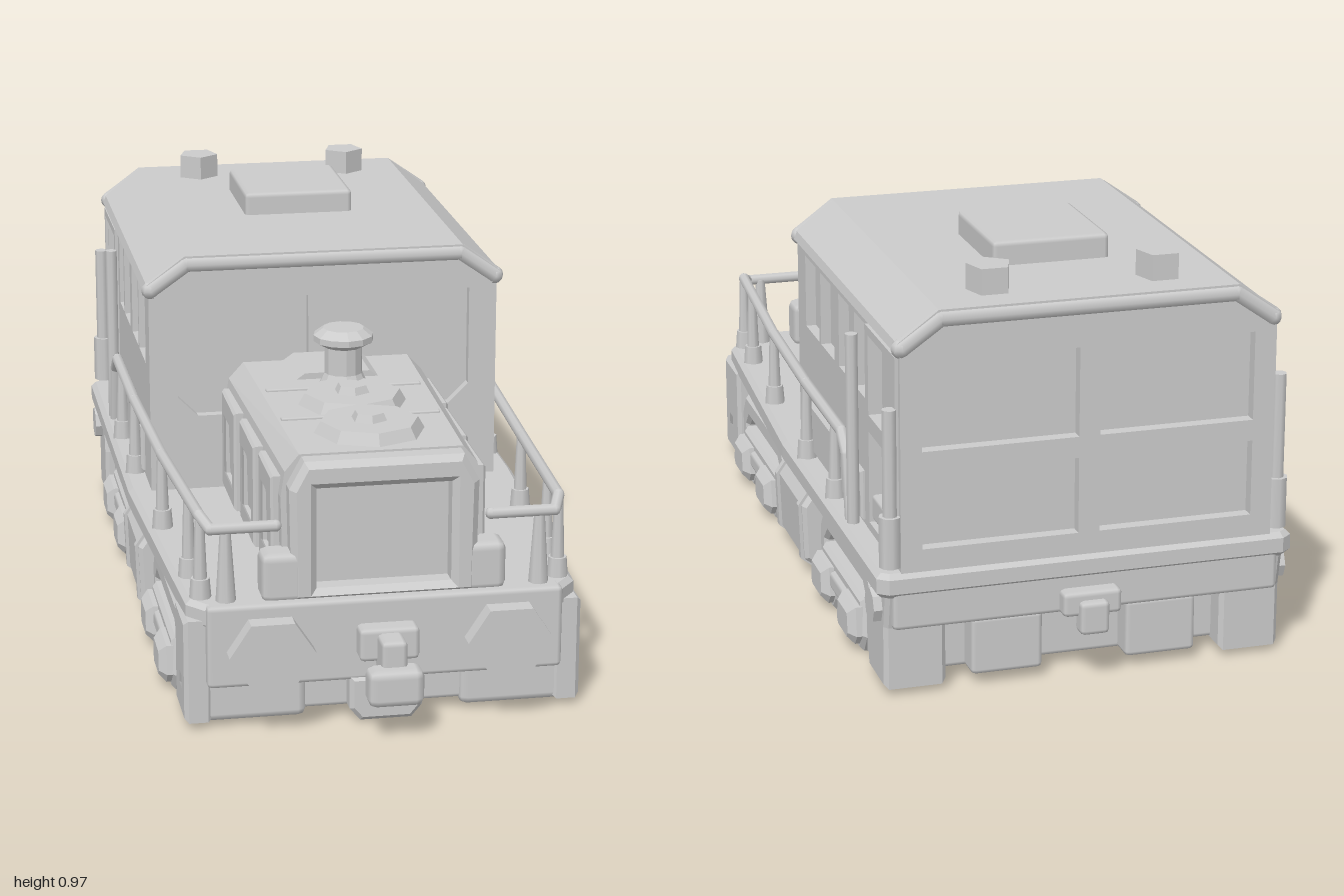
import * as THREE from 'three';
import { RoundedBoxGeometry } from 'three/addons/geometries/RoundedBoxGeometry.js';

const material = new THREE.MeshStandardMaterial({ color: 0xcccccc, side: THREE.DoubleSide });
const flat = new THREE.MeshStandardMaterial({ color: 0xcccccc, side: THREE.DoubleSide, flatShading: true });

export function createModel() {
  const model = new THREE.Group();
  const add = (name, geo, x = 0, y = 0, z = 0, mat = material) => {
    const mesh = new THREE.Mesh(geo, mat);
    mesh.name = name;
    mesh.position.set(x, y, z);
    model.add(mesh);
    return mesh;
  };
  // Box given by its extents
  const box = (name, x0, x1, y0, y1, z0, z1, r = 0.012) =>
    add(name, new RoundedBoxGeometry(x1 - x0, y1 - y0, z1 - z0, 1, r), (x0 + x1) / 2, (y0 + y1) / 2, (z0 + z1) / 2);
  const pairBox = (name, x0, x1, ...rest) => {
    box(name + 'Left', x0, x1, ...rest);
    box(name + 'Right', -x1, -x0, ...rest);
  };
  const toShape = (pts, holes = []) => {
    const s = new THREE.Shape(pts.map(p => new THREE.Vector2(...p)));
    holes.forEach(h => s.holes.push(new THREE.Path(h.map(p => new THREE.Vector2(...p)))));
    return s;
  };
  const rect = (a, b, c, d) => [[a, c], [b, c], [b, d], [a, d]];
  const mirror = half => [...half, ...half.map(([x, y]) => [-x, y]).reverse()];
  const extrude = (pts, holes, depth, bevel = 0) => new THREE.ExtrudeGeometry(toShape(pts, holes), {
    depth, bevelEnabled: bevel > 0, bevelSize: bevel, bevelThickness: bevel, bevelOffset: -bevel, bevelSegments: 1 });
  // Section in x, y run along z
  const alongZ = (name, pts, z0, z1, holes = [], bevel = 0) =>
    add(name, extrude(pts, holes, z1 - z0 - 2 * bevel, bevel), 0, 0, z0 + bevel);
  // Profile in z, y given thickness in x on both sides
  const sides = (name, pts, x0, x1, holes = [], bevel = 0) => {
    const flip = list => list.map(([z, y]) => [-z, y]);
    const geo = extrude(flip(pts), holes.map(flip), x1 - x0 - 2 * bevel, bevel).rotateY(Math.PI / 2);
    add(name + 'Left', geo, x0 + bevel);
    add(name + 'Right', geo, -x1 + bevel);
  };
  const cyl = (name, r0, r1, h, n, x, y, z, mat = flat) => add(name, new THREE.CylinderGeometry(r1, r0, h, n), x, y, z, mat);
  const tube = (name, pts, r) => {
    const path = new THREE.CurvePath();
    const v = pts.map(p => new THREE.Vector3(...p));
    for (let i = 1; i < v.length; i++) path.add(new THREE.LineCurve3(v[i - 1], v[i]));
    path.curves.forEach(c => add(name, new THREE.TubeGeometry(c, 1, r, 8)));
    v.forEach(p => add(name + 'Joint', new THREE.SphereGeometry(r, 8, 6), p.x, p.y, p.z));
  };

  // Chassis and deck, tapering to the front
  box('chassis', -0.41, 0.41, 0.03, 0.27, -0.86, 0.82);
  const plan = mirror([[0.41, -0.855], [0.455, -0.8], [0.495, 0], [0.495, 0.93], [0.47, 0.95]]);
  add('deck', extrude(plan, [], 0.035, 0.012).rotateX(-Math.PI / 2), 0, 0.262, 0);
  box('frontBeam', -0.415, 0.415, 0.11, 0.31, 0.81, 0.865);
  box('rearBeam', -0.46, 0.46, 0.17, 0.3, -0.945, -0.85);
  pairBox('frontGuard', 0.18, 0.455, 0.015, 0.165, 0.68, 0.835, 0.02);
  pairBox('rearBlock', 0.1, 0.27, 0.03, 0.17, -0.92, -0.8);
  sides('frontStep', rect(0.68, 0.84, 0.02, 0.27), 0.4, 0.465, [rect(0.74, 0.8, 0.08, 0.13)], 0.01);
  sides('rearStep', [[-0.77, 0.02], [-0.92, 0.02], [-0.92, 0.17], [-0.94, 0.27], [-0.8, 0.27], [-0.77, 0.15]], 0.33, 0.475, [], 0.01);

  // Bogies: arched frame, two axle boxes and a spring bar per side
  for (const [label, c] of [['front', 0.415], ['rear', -0.475]]) {
    const m = z => c + z;
    sides(label + 'BogieFrame', [[m(-0.25), 0.01], [m(-0.25), 0.17], [m(-0.21), 0.225], [m(0.21), 0.225], [m(0.25), 0.17],
      [m(0.25), 0.01], [m(0.2), 0.01], [m(0.2), 0.14], [m(0.17), 0.17], [m(-0.17), 0.17], [m(-0.2), 0.14], [m(-0.2), 0.01]], 0.38, 0.455, [], 0.01);
    sides(label + 'BogieBeam', [[m(-0.21), 0.05], [m(-0.18), 0.005], [m(-0.08), 0.005], [m(-0.05), 0.035], [m(0.05), 0.035], [m(0.08), 0.005],
      [m(0.18), 0.005], [m(0.21), 0.05], [m(0.19), 0.14], [m(-0.19), 0.14]], 0.3, 0.465, [], 0.01);
    for (const dz of [-0.13, 0.13])
      sides(label + 'AxleBox', [[m(dz - 0.07), 0.05], [m(dz - 0.05), 0.025], [m(dz + 0.05), 0.025], [m(dz + 0.07), 0.05],
        [m(dz + 0.06), 0.12], [m(dz - 0.06), 0.12]], 0.44, 0.495, [], 0.018);
    pairBox(label + 'Spring', 0.43, 0.478, 0.07, 0.115, m(-0.07), m(0.07));
  }

  // Fuel tanks with end bands
  for (const s of [-1, 1]) {
    const tank = k => [[0.3, 0.01], [0.43, 0.01], [0.48, 0.05], [0.485, 0.19], [0.45, 0.24], [0.3, 0.24]].map(([x, y]) => [s * (x + k), y]);
    alongZ('tank', tank(0), -0.17, 0.12, [], 0.01);
    for (const z of [-0.155, 0.085]) alongZ('tankBand', tank(0.008), z, z + 0.02);
  }
  for (const s of [-1, 1]) {
    const g = new THREE.CylinderGeometry(0.042, 0.042, 0.04, 8).rotateZ(Math.PI / 2);
    add('sideLamp', g, s * 0.475, 0.21, -0.865, flat);
    // Front buffers
    add('bufferShaft', new THREE.CylinderGeometry(0.06, 0.06, 0.06, 8).rotateX(Math.PI / 2), s * 0.275, 0.215, 0.88);
    add('bufferPlate', new THREE.CylinderGeometry(0.1, 0.1, 0.045, 6).rotateY(Math.PI / 2).rotateX(Math.PI / 2).scale(1, 0.88, 1), s * 0.275, 0.215, 0.922, flat);
  }

  // Couplers
  box('frontCouplerBase', -0.07, 0.07, 0.17, 0.25, 0.84, 0.91);
  box('frontCouplerNeck', -0.03, 0.03, 0.15, 0.24, 0.88, 0.97);
  box('frontCouplerHook', -0.065, 0.065, 0.09, 0.18, 0.93, 1.0, 0.02);
  alongZ('frontPlough', mirror([[0.06, 0.01], [0.085, 0.04], [0.085, 0.12]]), 0.8, 0.87, [], 0.01);
  box('rearCouplerBase', -0.07, 0.07, 0.17, 0.23, -0.98, -0.93);
  box('rearCouplerHook', -0.035, 0.035, 0.13, 0.21, -1.0, -0.95);

  // Hood, narrowing to the front, with raised side doors
  const hood = extrude(mirror([[0.24, 0.3], [0.245, 0.54], [0.235, 0.6], [0.2, 0.64]]), [], 0.74);
  const hp = hood.attributes.position;
  for (let i = 0; i < hp.count; i++) hp.setX(i, hp.getX(i) * (1.04 - 0.12 * hp.getZ(i)));
  hood.computeVertexNormals();
  add('hood', hood, 0, 0, 0.05);
  alongZ('hoodNose', mirror([[0.215, 0.3], [0.22, 0.57], [0.185, 0.635]]), 0.77, 0.845, [rect(-0.157, 0.157, 0.33, 0.57)], 0.015);
  for (const [z0, z1] of [[0.07, 0.28], [0.32, 0.54], [0.57, 0.76]]) {
    const x = 0.256 - 0.03 * (z0 + z1) / 2;
    sides('hoodDoor', rect(z0, z1, 0.33, 0.58), x - 0.03, x + 0.015, [rect(z0 + 0.03, z1 - 0.03, 0.37, 0.53)], 0.006);
  }
  for (const z of [0.3, 0.53]) box('hoodSeam', -0.19, 0.19, 0.62, 0.646, z - 0.01, z + 0.01, 0.004);
  alongZ('hoodRearCowl', mirror([[0.13, 0.62], [0.08, 0.655]]), 0.04, 0.22);
  for (const z of [0.42, 0.64]) {
    cyl('hatch', 0.135, 0.115, 0.035, 8, 0, 0.65, z);
    cyl('hatchCap', 0.045, 0.035, 0.02, 6, 0, 0.675, z);
  }
  // Chimney
  const chimney = [[0.07, 0.63], [0.055, 0.66], [0.046, 0.68], [0.046, 0.745], [0.073, 0.76], [0.073, 0.775], [0.05, 0.792], [0, 0.792]];
  add('chimney', new THREE.LatheGeometry(chimney.map(p => new THREE.Vector2(...p)), 12), 0, 0, 0.3, flat);
  pairBox('sandBox', 0.185, 0.285, 0.3, 0.42, 0.76, 0.845, 0.02);

  // Cab: recessed core behind framed walls
  const wall = mirror([[0.44, 0.3], [0.44, 0.83], [0.345, 0.9]]);
  alongZ('cabCore', mirror([[0.415, 0.3], [0.415, 0.82], [0.34, 0.89]]), -0.91, 0.005);
  const pane = [[0.04, 0.5], [0.32, 0.5], [0.37, 0.55], [0.37, 0.8], [0.04, 0.8]];
  alongZ('cabFront', wall, 0, 0.03, [pane, pane.map(([x, y]) => [-x, y])]);
  const rearPanels = [];
  for (const x of [-0.39, 0.025]) for (const [y0, y1] of [[0.36, 0.54], [0.59, 0.8]]) rearPanels.push(rect(x, x + 0.365, y0, y1));
  alongZ('cabRear', wall, -0.94, -0.9, rearPanels);
  const openings = [[-0.05, -0.19], [-0.205, -0.34], [-0.385, -0.515], [-0.535, -0.63]].map(([a, b]) => rect(b, a, 0.62, 0.8));
  openings.push(rect(-0.91, -0.69, 0.6, 0.79), rect(-0.91, -0.69, 0.34, 0.56));
  sides('cabSide', rect(-0.94, 0.03, 0.3, 0.83), 0.41, 0.44, openings);
  sides('cabSidePanel', rect(-0.62, -0.1, 0.32, 0.44), 0.43, 0.45, [], 0.006);
  sides('cabDoor', rect(-0.925, -0.665, 0.32, 0.81), 0.425, 0.448, openings.slice(4));
  pairBox('doorStep', 0.42, 0.45, 0.36, 0.42, -0.87, -0.72, 0.008);

  // Roof with rounded end edges, hatch box and vents
  alongZ('roof', mirror([[0.42, 0.81], [0.452, 0.825], [0.445, 0.845], [0.35, 0.915]]), -0.94, 0.04);
  for (const z of [-0.928, 0.028])
    tube('roofEdge', [[-0.435, 0.83, z], [-0.345, 0.893, z], [0.345, 0.893, z], [0.435, 0.83, z]], 0.022);
  box('roofHatch', -0.14, 0.14, 0.9, 0.972, -0.65, -0.35, 0.012);
  for (const s of [-1, 1]) cyl('roofVent', 0.053, 0.053, 0.075, 5, s * 0.2, 0.938, -0.82);

  // Railings, posts and grab bars on both sides
  const railX = z => 0.462 - 0.055 * Math.max(z, 0);
  for (const s of [-1, 1]) {
    tube('handrail', [[s * 0.25, 0.485, 0.825], [s * 0.4, 0.485, 0.825], [s * railX(0.78), 0.505, 0.78], [s * railX(0.3), 0.495, 0.3],
      [s * 0.462, 0.5, -0.13], [s * 0.465, 0.5, -0.5], [s * 0.465, 0.46, -0.55], [s * 0.465, 0.31, -0.58]], 0.014);
    for (const z of [0.785, 0.645, 0.3, -0.13, -0.42]) {
      cyl('railPost', 0.018, 0.011, 0.19, 8, s * railX(z), 0.4, z, material);
      cyl('postFoot', 0.026, 0.022, 0.05, 8, s * railX(z), 0.33, z, material);
    }
    cyl('frontRailPost', 0.024, 0.012, 0.18, 8, s * 0.365, 0.395, 0.82, material);
    cyl('doorGrabBar', 0.015, 0.015, 0.46, 8, s * 0.465, 0.54, -0.605, material);
    cyl('rearGrabBar', 0.017, 0.017, 0.36, 8, s * 0.46, 0.51, -0.92, material);
    cyl('rearGrabFoot', 0.026, 0.026, 0.12, 8, s * 0.46, 0.38, -0.92, material);
  }
  return model;
}
